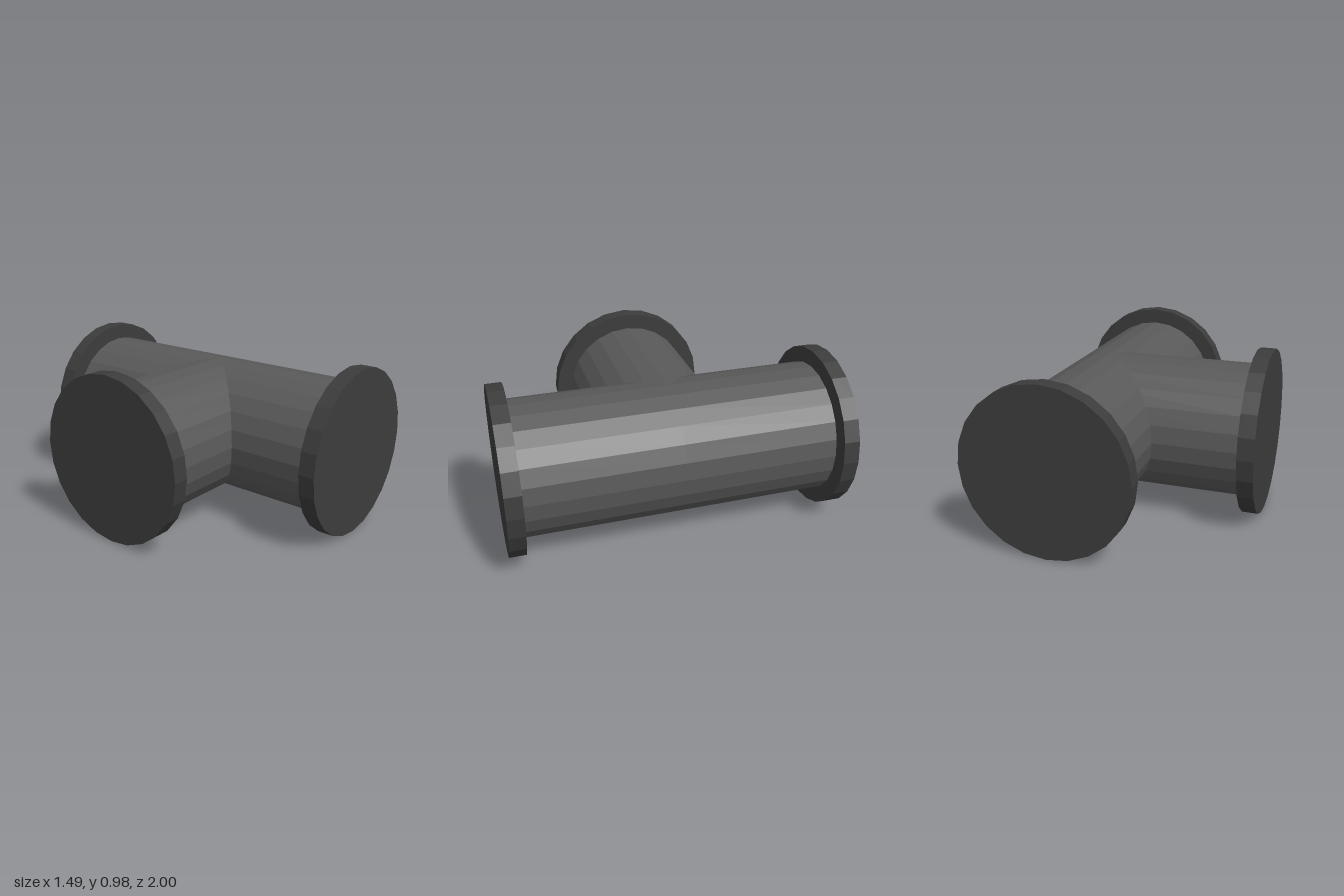
import * as THREE from 'three';

const SIDES = 24;
const PIPE_R = 0.397, FLANGE_R = 0.492, FLANGE_T = 0.094;
const AXIS_X = 0.254; // offset of the main run from the centre

const pipeMat = new THREE.MeshStandardMaterial({ color: 0x595959, flatShading: true });
const flangeMat = new THREE.MeshStandardMaterial({ color: 0x3c3c3c, flatShading: true });

// One arm of the tee: runs 1 unit out from the joint along local +y
function createArm(name) {
  const arm = new THREE.Group();
  arm.name = name;

  const length = 1 - FLANGE_T;
  const pipe = new THREE.Mesh(
    new THREE.CylinderGeometry(PIPE_R, PIPE_R, length, SIDES, 1, true), pipeMat);
  pipe.name = name + 'Pipe';
  pipe.position.y = length / 2;

  // Solid end flange
  const flange = new THREE.Mesh(
    new THREE.CylinderGeometry(FLANGE_R, FLANGE_R, FLANGE_T, SIDES), flangeMat);
  flange.name = name + 'Flange';
  flange.position.y = 1 - FLANGE_T / 2;

  arm.add(pipe, flange);
  arm.position.set(AXIS_X, FLANGE_R, 0);
  return arm;
}

export function createModel() {
  const model = new THREE.Group();
  model.name = 'pipeTee';

  // Straight run, front and back
  const front = createArm('front');
  front.rotation.x = Math.PI / 2;
  const back = createArm('back');
  back.rotation.x = -Math.PI / 2;

  // Side branch; equal radii make a clean mitred joint
  const branch = createArm('branch');
  branch.rotation.z = Math.PI / 2;

  model.add(front, back, branch);
  return model;
}
